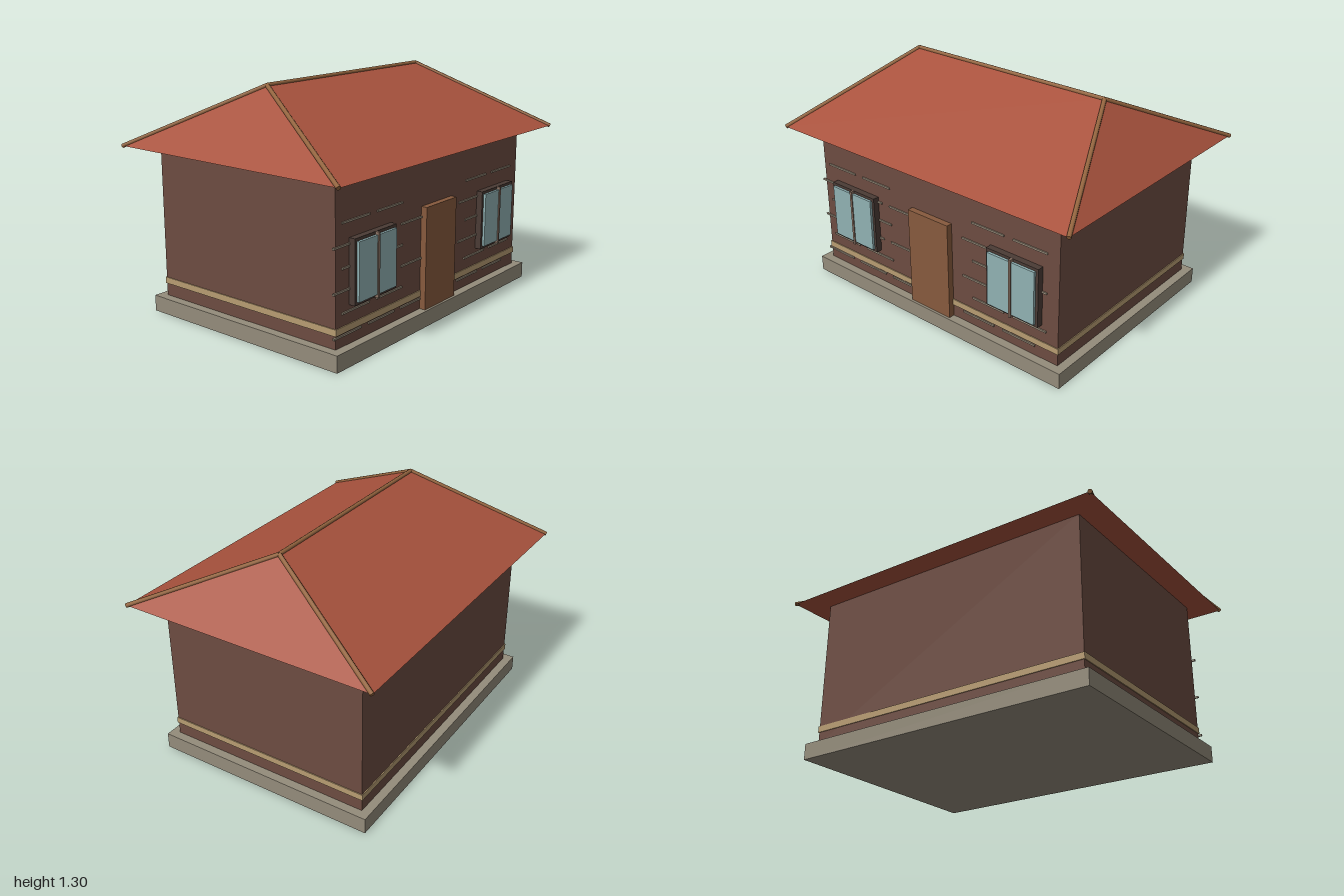
import * as THREE from 'three';

const mat = (name, color, extra = {}) => {
  const m = new THREE.MeshStandardMaterial({ color, ...extra });
  m.name = name;
  return m;
};

export function createModel() {
  const house = new THREE.Group();
  house.name = 'house';

  const stone = mat('foundation stone', 0x948c7b);
  const brick = mat('brown wall', 0x6d4c41);
  const sand = mat('sand band', 0xb79c72);
  const tile = mat('red roof', 0xa8523d);
  const ridgeWood = mat('ridge wood', 0x94653f);
  const doorWood = mat('door wood', 0x875a3d);
  const dark = mat('dark frame', 0x4a3b35);
  const glass = mat('window glass', 0x90b1b3);
  const mortar = mat('mortar', 0x978b79);
  const trim = mat('window bar', 0x8a7263);

  // Box given by its limits on each axis
  const box = (name, material, [x0, x1], [y0, y1], [z0, z1], parent = house) => {
    const mesh = new THREE.Mesh(new THREE.BoxGeometry(x1 - x0, y1 - y0, z1 - z0), material);
    mesh.position.set((x0 + x1) / 2, (y0 + y1) / 2, (z0 + z1) / 2);
    mesh.name = name;
    parent.add(mesh);
    return mesh;
  };

  // Body
  box('foundation', stone, [-0.895, 0.895], [0, 0.09], [-0.655, 0.655]);
  box('walls', brick, [-0.846, 0.846], [0.09, 0.945], [-0.606, 0.606]);
  box('baseBand', sand, [-0.851, 0.851], [0.16, 0.195], [-0.611, 0.611]);
  box('door', doorWood, [-0.142, 0.142], [0.09, 0.656], [0.6, 0.641]);

  // Windows
  for (const [side, x] of [['right', -0.577], ['left', 0.577]]) {
    const win = new THREE.Group();
    win.name = side + 'Window';
    win.position.x = x;
    box('windowFrame', dark, [-0.167, 0.167], [0.292, 0.63], [0.606, 0.642], win);
    box('windowGlass', glass, [-0.151, 0.151], [0.308, 0.614], [0.63, 0.656], win);
    box('windowBar', trim, [-0.007, 0.007], [0.292, 0.63], [0.642, 0.662], win);
    house.add(win);
  }

  // Mortar lines, with alternate rows shifted
  const rows = [[-0.8, -0.527, 0.286, 0.559], [-0.866, -0.593, -0.322, 0.218, 0.489]];
  for (let r = 0; r < 6; r++) {
    const y = 0.714 - r * 0.113;
    for (const x of rows[r % 2]) {
      box('mortarLine', mortar, [x, x + 0.214], [y - 0.005, y + 0.005], [0.602, 0.613]);
    }
  }

  // Hip roof: four eave corners and two ridge ends
  const E = [[-0.99, 0.94, 0.745], [0.99, 0.94, 0.745], [0.99, 0.94, -0.745], [-0.99, 0.94, -0.745]];
  const R = [[-0.65, 1.293, 0], [0.65, 1.293, 0]];
  const faces = [
    [E[0], E[1], R[1]], [E[0], R[1], R[0]],
    [E[2], E[3], R[0]], [E[2], R[0], R[1]],
    [E[1], E[2], R[1]], [E[3], E[0], R[0]],
    [E[0], E[3], E[2]], [E[0], E[2], E[1]],
  ];
  const roofGeo = new THREE.BufferGeometry();
  roofGeo.setAttribute('position', new THREE.Float32BufferAttribute(faces.flat(2), 3));
  roofGeo.computeVertexNormals();
  const roof = new THREE.Mesh(roofGeo, tile);
  roof.name = 'roof';
  house.add(roof);

  // Round caps along the ridge and hips
  const cap = (name, a, b) => {
    const p = new THREE.Vector3(...a), q = new THREE.Vector3(...b);
    const d = q.clone().sub(p);
    const mesh = new THREE.Mesh(new THREE.CylinderGeometry(0.012, 0.012, d.length(), 8), ridgeWood);
    mesh.position.copy(p).add(q).multiplyScalar(0.5);
    mesh.quaternion.setFromUnitVectors(new THREE.Vector3(0, 1, 0), d.normalize());
    mesh.name = name;
    house.add(mesh);
  };
  cap('ridgeCap', R[0], R[1]);
  E.forEach((e, i) => cap('hipCap', e, R[i === 1 || i === 2 ? 1 : 0]));

  return house;
}
